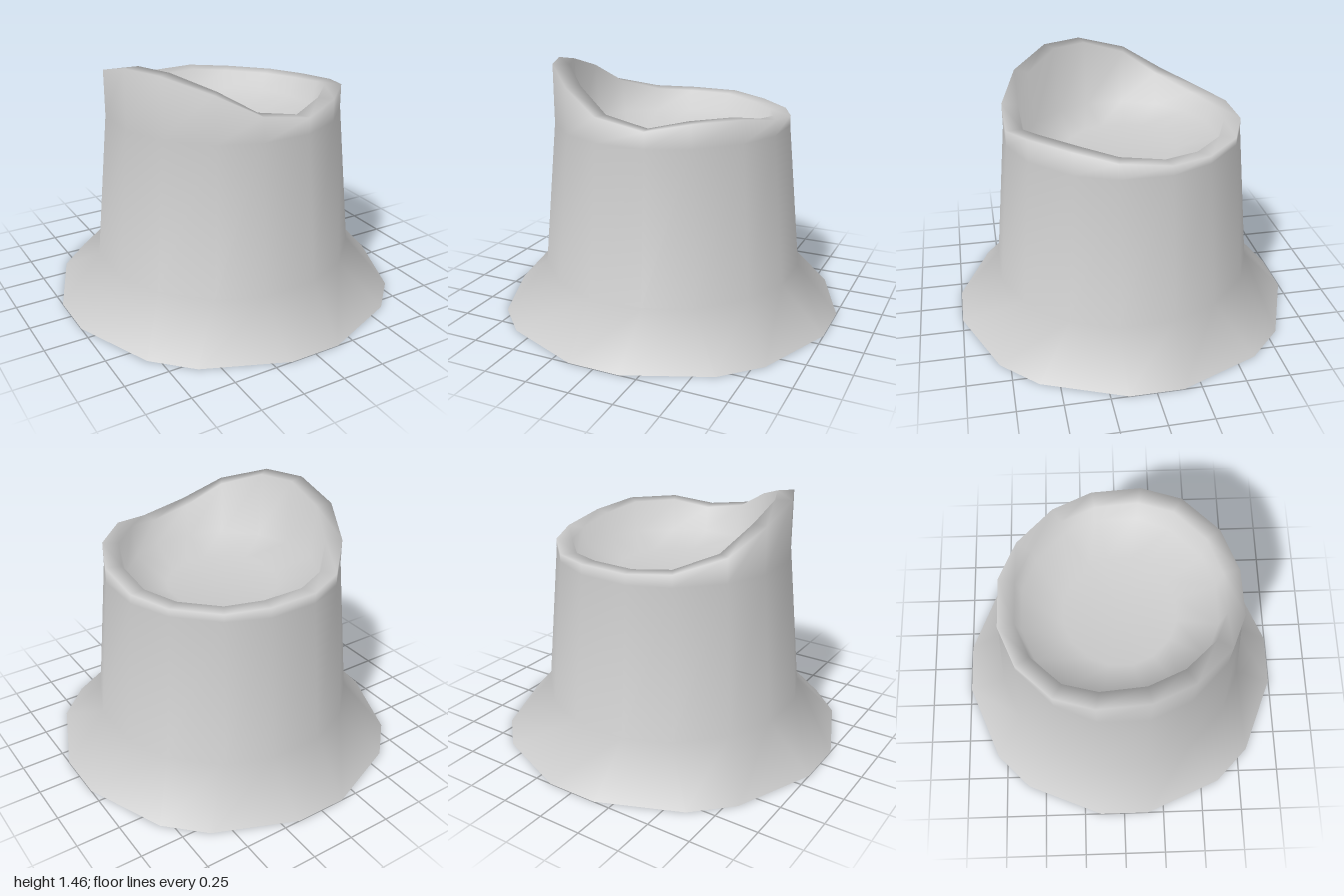
import * as THREE from 'three';

// Height of the wavy rim, counter-clockwise from the right side (-x) via the front
const RIM = [1.46, 1.46, 1.38, 1.26, 1.21, 1.25, 1.25, 1.21, 1.175, 1.165, 1.165, 1.18, 1.18, 1.19, 1.26, 1.385];

// Sixteen corners of a ring; p and q are two points of one quadrant
function ring(near, mid, midFar, far, height) {
  const quadrant = [[-far, near], [-midFar, mid], [-mid, midFar], [-near, far]];
  const points = [];
  for (let i = 0; i < 16; i++) {
    let [x, z] = quadrant[i % 4];
    for (let turn = 0; turn < Math.floor(i / 4); turn++) [x, z] = [z, -x];
    points.push(new THREE.Vector3(x, height(i), z));
  }
  return points;
}

const scaledRing = (r, height) => ring(0.212 * r, 0.55 * r, 0.855 * r, r, height);

// Skin the rings in order and close the last one to a centre point
function loft(rings, centreY) {
  const points = rings.flat();
  const index = [];
  for (let k = 0; k < rings.length; k++) {
    for (let i = 0; i < 16; i++) {
      const a = k * 16 + i, b = k * 16 + (i + 1) % 16;
      if (k < rings.length - 1) index.push(a, b, b + 16, a, b + 16, a + 16);
      else index.push(a, b, points.length);
    }
  }
  points.push(new THREE.Vector3(0, centreY, 0));
  const geometry = new THREE.BufferGeometry().setFromPoints(points);
  geometry.setIndex(index);
  geometry.computeVertexNormals();
  return geometry;
}

export function createModel() {
  const group = new THREE.Group();
  group.name = 'hollowStump';
  const material = new THREE.MeshStandardMaterial({ color: 0xcccccc, side: THREE.DoubleSide });

  const rings = [
    ring(0.15, 0.61, 0.81, 1.0, () => 0),     // flared foot, open underneath
    scaledRing(0.75, () => 0.27),             // top of the flare
    scaledRing(0.67, () => 1.12),             // top of the tapered wall
    scaledRing(0.67, (i) => RIM[i]),          // outer rim edge
    scaledRing(0.577, (i) => RIM[i] - 0.005), // inner rim edge
    scaledRing(0.55, () => 1.06),             // foot of the inner wall
    scaledRing(0.32, () => 1.0),              // edge of the flat floor
  ];
  const stump = new THREE.Mesh(loft(rings, 1.0), material);
  stump.name = 'stump';
  group.add(stump);
  return group;
}
